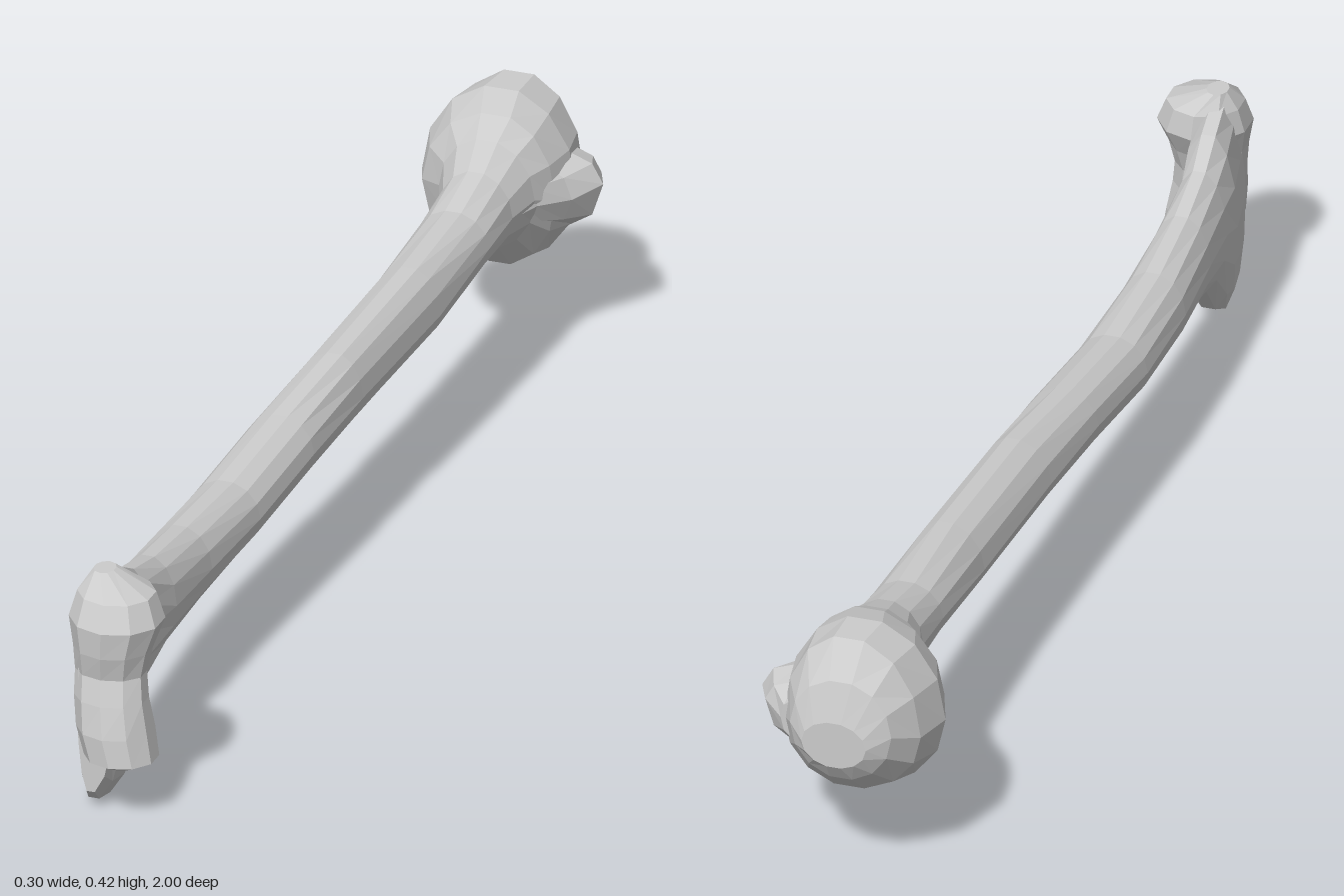
import * as THREE from 'three';

const material = new THREE.MeshStandardMaterial({ color: 0xcccccc, flatShading: true });

// Skin closed rings of four quarter-ellipses: [s, uMin, uMax, vMin, vMax, uPeak, vPeak]
function loft(rings, sides, place) {
  const pos = [], idx = [];
  for (const [s, u0, u1, v0, v1, up = (u0 + u1) / 2, vp = (v0 + v1) / 2] of rings) {
    for (let k = 0; k < sides; k++) {
      const a = (k / sides) * Math.PI * 2, c = Math.cos(a), d = Math.sin(a);
      pos.push(...place(up + c * (c > 0 ? u1 - up : up - u0), vp + d * (d > 0 ? v1 - vp : vp - v0), s));
    }
  }
  const last = (rings.length - 1) * sides;
  for (let r = 0; r < last; r += sides) {
    for (let k = 0; k < sides; k++) {
      const n = (k + 1) % sides;
      idx.push(r + k, r + n, r + sides + n, r + k, r + sides + n, r + sides + k);
    }
  }
  // End caps
  for (let k = 1; k < sides - 1; k++) idx.push(0, k + 1, k, last, last + k, last + k + 1);
  const g = new THREE.BufferGeometry();
  g.setAttribute('position', new THREE.Float32BufferAttribute(pos, 3));
  g.setIndex(idx);
  const flat = g.toNonIndexed();
  flat.computeVertexNormals();
  return flat;
}

function add(group, name, geometry) {
  const mesh = new THREE.Mesh(geometry, material);
  mesh.name = name;
  group.add(mesh);
  return mesh;
}

export function createModel() {
  const bone = new THREE.Group();
  bone.name = 'armBone';

  // Ball head, shaft and flared lower end, lofted along z
  const shaftRings = [
    [-1.0, -0.06, 0.045, 0.23, 0.31],
    [-0.98, -0.095, 0.07, 0.2, 0.375],
    [-0.935, -0.128, 0.095, 0.16, 0.43, -0.01, 0.27],
    [-0.87, -0.147, 0.108, 0.138, 0.43, -0.015, 0.27],
    [-0.81, -0.125, 0.095, 0.155, 0.412, 0, 0.28],
    [-0.765, -0.08, 0.078, 0.205, 0.388],
    [-0.7, -0.055, 0.066, 0.224, 0.363],
    [-0.6, -0.054, 0.065, 0.23, 0.34],
    [-0.4, -0.055, 0.06, 0.215, 0.335, 0.01, 0.26],
    [-0.1, -0.065, 0.045, 0.2, 0.32, 0, 0.25],
    [0.1, -0.075, 0.04, 0.186, 0.3],
    [0.31, -0.086, 0.03, 0.167, 0.28],
    [0.5, -0.085, 0.022, 0.155, 0.288],
    [0.65, -0.076, 0.02, 0.145, 0.305],
    [0.75, -0.07, 0.022, 0.115, 0.33],
    [0.81, -0.067, 0.035, 0.045, 0.362, -0.02],
    [0.885, -0.05, 0.045, 0.003, 0.385, -0.015],
    [0.93, -0.04, 0.04, 0.012, 0.365, -0.015],
    [0.955, -0.03, 0.03, 0.035, 0.34, -0.01],
  ];
  add(bone, 'shaftAndHead', loft(shaftRings, 14, (x, y, z) => {
    // Hollow behind the elbow joint
    const dip = Math.max(0, 1 - Math.hypot((z - 0.8) / 0.09, (y - 0.22) / 0.11));
    return [x - (x > -0.02 ? 0.035 * dip : 0), y, z];
  }));

  // Side lump of the head, tapering into the shaft
  add(bone, 'headTubercle', loft([
    [-0.95, 0.05, 0.095, 0.24, 0.31],
    [-0.92, 0.02, 0.13, 0.215, 0.325, 0.07, 0.285],
    [-0.88, 0.0, 0.148, 0.2, 0.335, 0.07, 0.285],
    [-0.83, 0.0, 0.115, 0.22, 0.33],
    [-0.77, 0.0, 0.08, 0.24, 0.33],
    [-0.69, 0.0, 0.06, 0.26, 0.32],
  ], 9, (x, y, z) => [x, y, z]));

  // Waisted elbow roller, lofted along y (u is z, v is x)
  add(bone, 'elbowRoller', loft([
    [0.082, 0.91, 0.955, 0.005, 0.06],
    [0.105, 0.885, 1.0, -0.02, 0.097],
    [0.15, 0.875, 0.998, -0.035, 0.088],
    [0.2, 0.885, 0.985, -0.04, 0.078],
    [0.24, 0.88, 0.972, -0.042, 0.072],
    [0.28, 0.865, 0.982, -0.045, 0.08],
    [0.325, 0.84, 0.986, -0.055, 0.095],
    [0.365, 0.845, 0.965, -0.045, 0.078],
    [0.395, 0.87, 0.915, -0.025, 0.01],
  ], 10, (z, x, y) => [x, y, z]));

  return bone;
}
